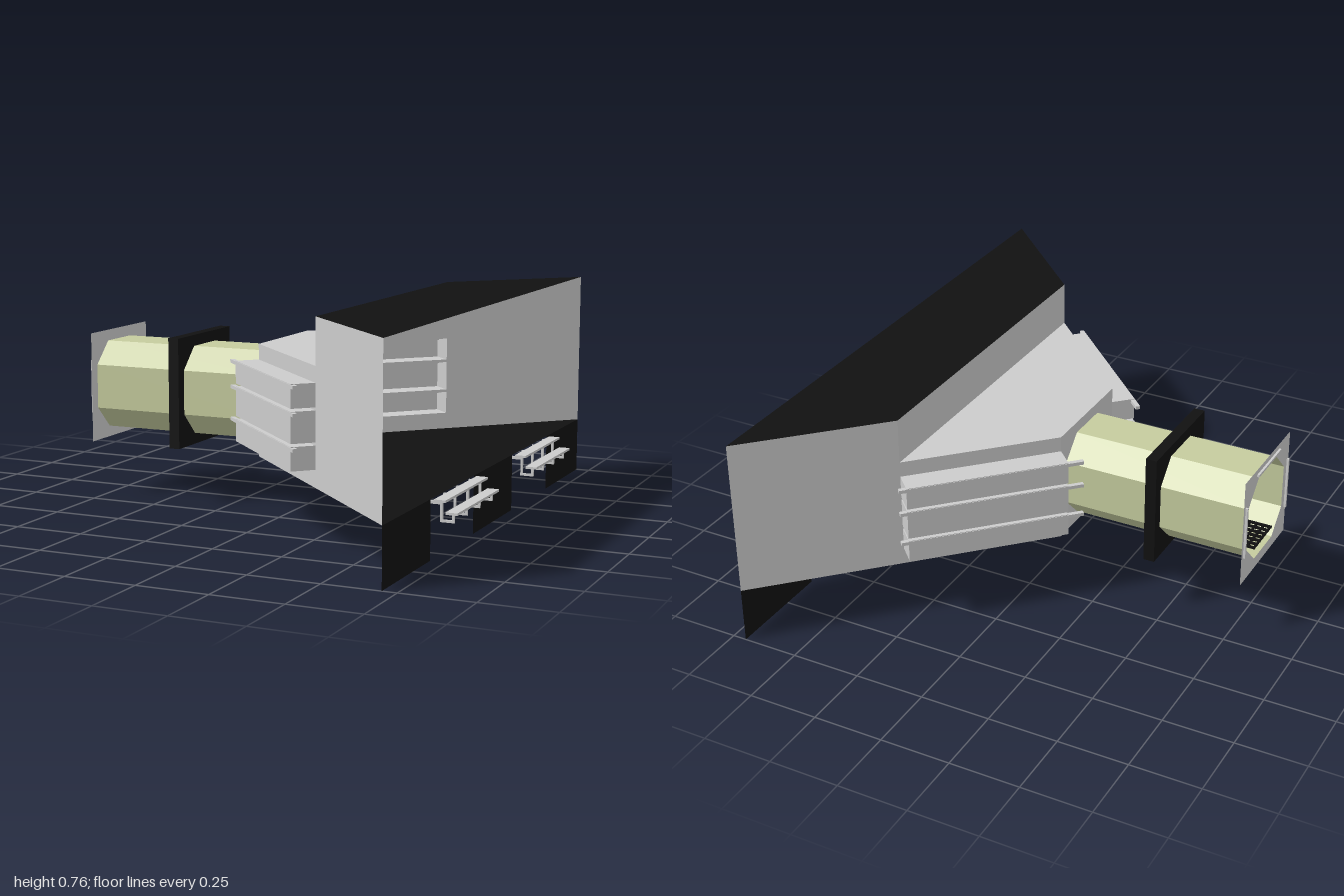
import * as THREE from 'three';

const mat = (color) => new THREE.MeshStandardMaterial({ color, side: THREE.DoubleSide, flatShading: true });
const grey = mat(0xcccccc), black = mat(0x111111), olive = mat(0xc5cc9e);

function add(parent, name, geometry, material = grey) {
  const mesh = new THREE.Mesh(geometry, material);
  mesh.name = name;
  parent.add(mesh);
  return mesh;
}

// Box given by its minimum and maximum corners
function box(parent, name, [x0, y0, z0], [x1, y1, z1], material) {
  const g = new THREE.BoxGeometry(x1 - x0, y1 - y0, z1 - z0);
  g.translate((x0 + x1) / 2, (y0 + y1) / 2, (z0 + z1) / 2);
  return add(parent, name, g, material);
}

// Flat four-sided sheet
function quad(parent, name, corners, material) {
  const g = new THREE.BufferGeometry();
  g.setAttribute('position', new THREE.Float32BufferAttribute(corners.flat(), 3));
  g.setIndex([0, 1, 2, 0, 2, 3]);
  g.computeVertexNormals();
  return add(parent, name, g, material);
}

// Octagonal tunnel outline as [z, y] around the tunnel axis
const AXIS = 0.4;
const octagon = [[0.08, 0.16], [0.16, 0.08], [0.16, -0.08], [0.08, -0.16],
  [-0.08, -0.16], [-0.16, -0.08], [-0.16, 0.08], [-0.08, 0.16]];

// Square plate pierced by the octagon, facing along x
function piercedPlate(parent, name, x, depth, material) {
  const shape = new THREE.Shape([[-0.2, -0.2], [0.2, -0.2], [0.2, 0.2], [-0.2, 0.2]]
    .map((p) => new THREE.Vector2(...p)));
  shape.holes.push(new THREE.Path(octagon.map((p) => new THREE.Vector2(...p))));
  const g = depth ? new THREE.ExtrudeGeometry(shape, { depth, bevelEnabled: false })
    : new THREE.ShapeGeometry(shape);
  g.rotateY(Math.PI / 2);
  add(parent, name, g, material).position.set(x, AXIS, 0);
}

// Thin strips above and beside a tunnel mouth
function mouthStrips(parent, x) {
  box(parent, 'mouthTopStrip', [x - 0.004, 0.575, -0.1], [x + 0.004, 0.583, 0.1]);
  for (const s of [-1, 1]) {
    box(parent, 'mouthSideStrip', [x - 0.004, 0.305, s * 0.185 - 0.004], [x + 0.004, 0.5, s * 0.185 + 0.004]);
  }
}

// Two-tread open steps descending along +x, with the top at y = 0
function steps(name, width, posts) {
  const g = new THREE.Group();
  g.name = name;
  const w = width / 2;
  box(g, 'upperTread', [0.01, -0.008, -w], [0.05, 0, w]);
  box(g, 'lowerTread', [0.05, -0.046, -w], [0.09, -0.038, w]);
  for (let i = 0; i < posts; i++) {
    const z = (i / (posts - 1) - 0.5) * (width - 0.04);
    const bar = (part, x0, y0, x1, y1) => box(g, part, [x0, y0, z - 0.004], [x1, y1, z + 0.004]);
    bar('stepBracket', -0.01, -0.018, 0.034, -0.008);
    bar('stepPost', 0.026, -0.075, 0.034, -0.008);
    bar('stepFoot', 0.03, -0.075, 0.074, -0.067);
    bar('stepStub', 0.066, -0.07, 0.074, -0.046);
  }
  return g;
}

// Hall side: high wall, low wall and three protruding open-backed bays
function hallSide() {
  const side = new THREE.Group();
  side.name = 'hallSide';
  quad(side, 'highSideWall', [[0.3, 0.2, 0.6], [0.7, 0.2, 1], [0.7, 0.76, 1], [0.3, 0.76, 0.6]]);

  const wall = new THREE.Group();
  wall.name = 'bayWall';
  wall.position.set(-0.1, 0, 0.2);
  wall.rotation.y = -Math.PI / 4;
  side.add(wall);
  const length = 0.4 * Math.SQRT2, out = 0.085;
  for (const [y0, y1] of [[0.2, 0.26], [0.34, 0.35], [0.455, 0.465], [0.545, 0.6]]) {
    quad(wall, 'lowWallBand', [[0, y0, 0], [length, y0, 0], [length, y1, 0], [0, y1, 0]]);
  }
  for (const [y0, y1] of [[0.26, 0.34], [0.35, 0.455], [0.465, 0.545]]) {
    const g = new THREE.BoxGeometry(length, y1 - y0, out);
    g.setIndex(Array.from(g.index.array).slice(0, 30)); // leave the hall-facing side open
    add(wall, 'bay', g).position.set(length / 2, (y0 + y1) / 2, out / 2);
    box(wall, 'bayRail', [-0.055, y1 - 0.014, out - 0.014], [length + 0.025, y1 - 0.002, out + 0.002]);
  }
  return side;
}

export function createModel() {
  const model = new THREE.Group();
  model.name = 'hangar';

  // Hall shell
  const hall = new THREE.Group();
  hall.name = 'hall';
  model.add(hall);
  const level = (name, x0, z0, x1, z1, y, m) =>
    quad(hall, name, [[x0, y, -z0], [x0, y, z0], [x1, y, z1], [x1, y, -z1]], m);
  level('floor', -0.1, 0.2, 0.7, 1, 0.2, black);
  level('highRoof', 0.3, 0.6, 0.7, 1, 0.76, black);
  level('lowRoof', -0.1, 0.2, 0.3, 0.6, 0.6, grey);
  quad(hall, 'roofRiser', [[0.3, 0.6, -0.6], [0.3, 0.6, 0.6], [0.3, 0.76, 0.6], [0.3, 0.76, -0.6]]);
  const left = hallSide(), right = hallSide();
  right.scale.z = -1;
  hall.add(left, right);

  // Skirts under the open end, with steps in the gaps
  for (const [z0, z1] of [[-1, -0.6], [-0.2, 0.2], [0.6, 1]]) {
    quad(hall, 'skirt', [[0.7, 0, z1], [0.7, 0, z0], [0.7, 0.2, z0], [0.7, 0.2, z1]], black);
  }
  for (const z of [-0.4, 0.4]) {
    const s = steps('entrySteps', 0.4, 4);
    s.position.set(0.7, 0.2, z);
    model.add(s);
  }

  // Octagonal tunnel
  const tunnel = new THREE.Group();
  tunnel.name = 'tunnel';
  model.add(tunnel);
  octagon.forEach(([z0, y0], i) => {
    const [z1, y1] = octagon[(i + 1) % 8];
    quad(tunnel, 'tunnelPanel', [[-0.78, AXIS + y0, z0], [-0.1, AXIS + y0, z0],
      [-0.1, AXIS + y1, z1], [-0.78, AXIS + y1, z1]], olive);
  });
  piercedPlate(tunnel, 'endPlate', -0.78, 0, grey);
  piercedPlate(tunnel, 'hallEndWall', -0.1, 0, grey);
  piercedPlate(tunnel, 'collar', -0.46, 0.04, black);
  mouthStrips(tunnel, -0.785);
  mouthStrips(tunnel, -0.095);

  // Grated walkway through the tunnel
  for (let i = 0; i < 7; i++) {
    const z = -0.075 + i * 0.025;
    box(tunnel, 'walkwayBar', [-0.78, 0.276, z - 0.004], [-0.1, 0.284, z + 0.004], black);
  }
  for (let i = 0; i < 28; i++) {
    const x = -0.776 + i * 0.0248;
    box(tunnel, 'walkwayCrossbar', [x - 0.003, 0.276, -0.079], [x + 0.003, 0.284, 0.079], black);
  }
  const inner = steps('tunnelSteps', 0.16, 2);
  inner.position.set(-0.1, 0.28, 0);
  model.add(inner);

  return model;
}
